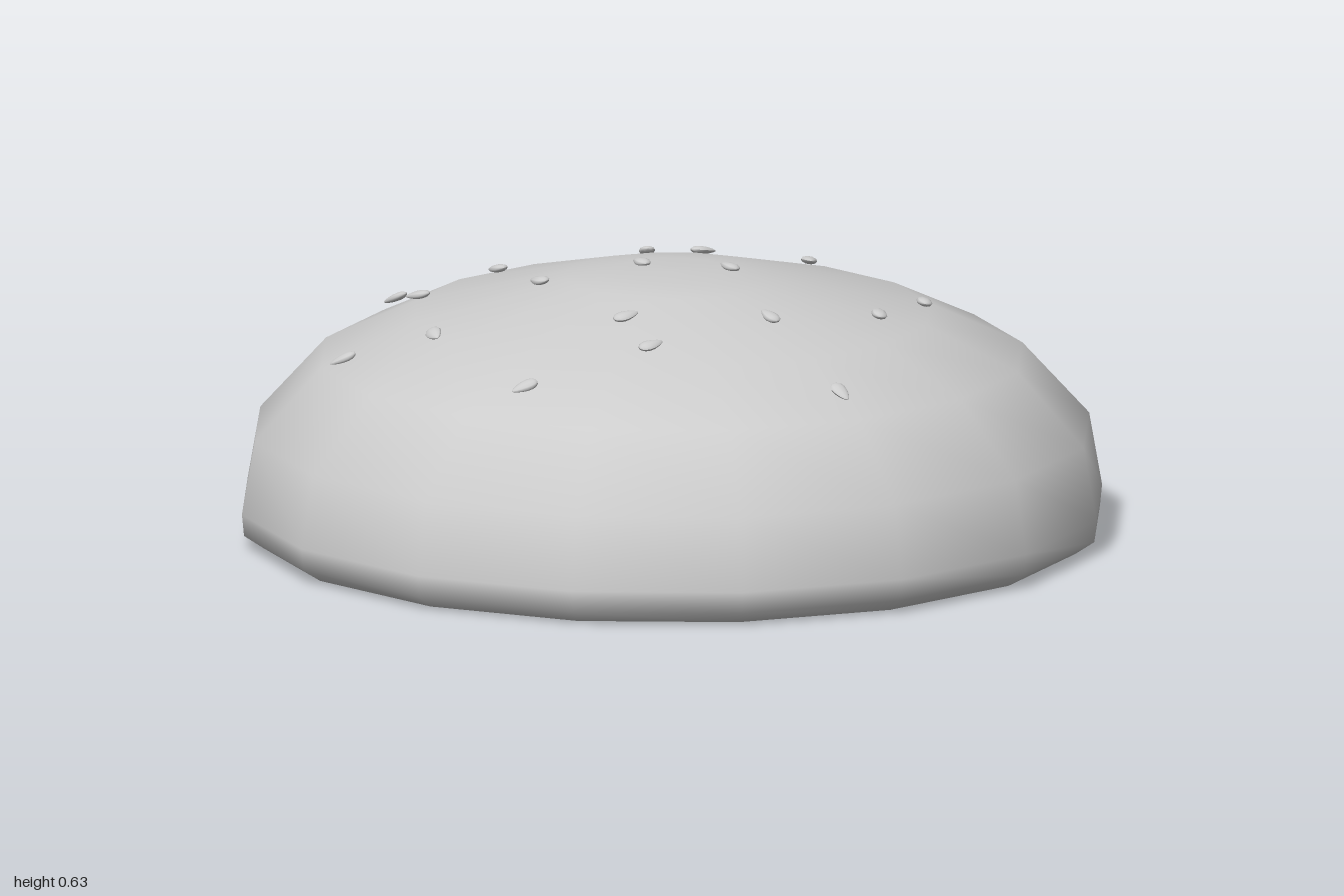
import * as THREE from 'three';

// bun outline from the centre of the base to the crown: [radius, height]
const PROFILE = [[0, 0], [0.95, 0], [0.995, 0.03], [1, 0.08], [0.97, 0.25], [0.815, 0.42], [0.6, 0.52], [0.25, 0.606], [0.13, 0.62], [0, 0.622]];
const SIDES = 16;

// seeds: [x, z, direction of the narrow end as dx, dz]
const SEEDS = [
  [-0.335, -0.665, -0.5, -1], [-0.175, -0.48, 0, -1], [-0.43, -0.415, -0.5, -1],
  [-0.74, -0.24, -1, -0.6], [-0.605, -0.06, -0.4, 1], [-0.27, -0.145, 0, -1],
  [-0.025, -0.095, 0.2, -1], [0.12, 0.055, 0, -1], [0.27, -0.545, 0.5, -1],
  [0.578, -0.55, 0.5, -1], [0.24, -0.25, 1, 0], [0.477, -0.17, -0.5, 1],
  [0.513, 0.27, 0.5, -1], [0.317, 0.39, 0.5, -1], [0.025, 0.385, 0, -1],
  [0, 0.735, 0, 1], [-0.27, 0.235, 1, 0], [-0.305, 0.4, 1, -0.1], [-0.615, 0.35, -1, -0.15],
];

// height and slope of the crown at radius r
function crown(r) {
  for (let i = 4; i < PROFILE.length - 1; i++) {
    const [r0, y0] = PROFILE[i], [r1, y1] = PROFILE[i + 1];
    if (r <= r0 && r >= r1) {
      const slope = (y1 - y0) / (r1 - r0);
      return { y: y0 + slope * (r - r0), slope };
    }
  }
  return { y: 0.62, slope: 0 };
}

// flattened teardrop, narrow end toward +z
function seedGeometry() {
  const g = new THREE.SphereGeometry(1, 10, 8);
  g.rotateX(Math.PI / 2);
  const p = g.attributes.position;
  for (let i = 0; i < p.count; i++) {
    const z = p.getZ(i), taper = 1 - 0.35 * z;
    p.setXYZ(i, p.getX(i) * 0.018 * taper, p.getY(i) * 0.009 * taper, z * 0.032);
  }
  g.computeVertexNormals();
  return g;
}

export function createModel() {
  const group = new THREE.Group();
  group.name = 'bunTop';
  const crust = new THREE.MeshStandardMaterial({ color: 0xcccccc });
  crust.name = 'pale grey';

  // domed bun with a flat base
  const bun = new THREE.Mesh(
    new THREE.LatheGeometry(PROFILE.map(([r, y]) => new THREE.Vector2(r, y)), SIDES), crust);
  bun.name = 'bun';
  group.add(bun);

  // seeds laid along the crown's slope
  const seeds = new THREE.Group();
  seeds.name = 'seeds';
  const geometry = seedGeometry();
  for (const [x, z, dx, dz] of SEEDS) {
    const r = Math.hypot(x, z);
    const { y, slope } = crown(r);
    const up = new THREE.Vector3(-slope * x / r, 1, -slope * z / r).normalize();
    const forward = new THREE.Vector3(dx, 0, dz).projectOnPlane(up).normalize();
    const side = new THREE.Vector3().crossVectors(up, forward);
    const seed = new THREE.Mesh(geometry, crust);
    seed.name = 'seed';
    seed.quaternion.setFromRotationMatrix(new THREE.Matrix4().makeBasis(side, up, forward));
    seed.position.set(x, y + 0.003 + 0.016 * r, z);
    seeds.add(seed);
  }
  group.add(seeds);
  return group;
}
